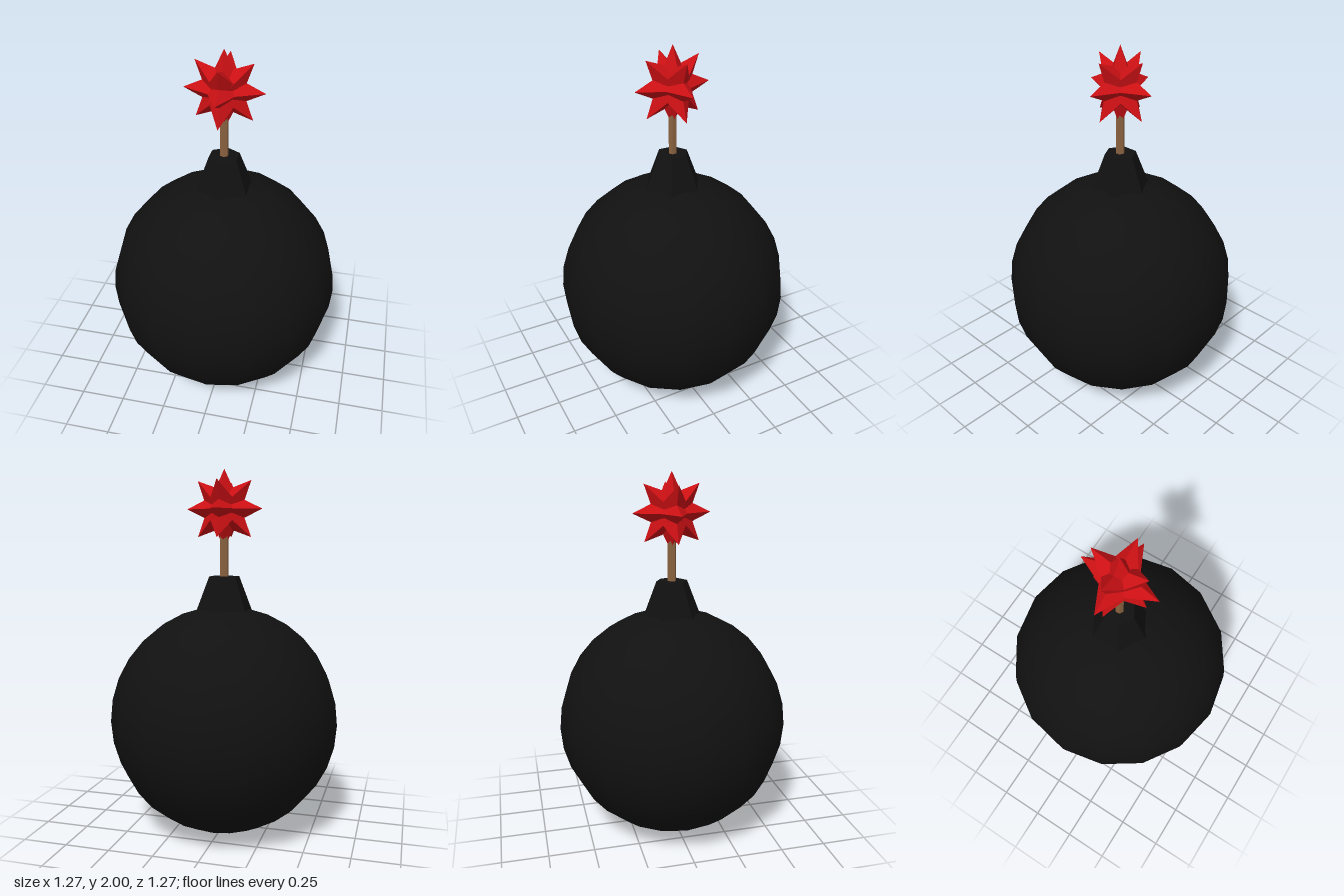
import * as THREE from 'three';

const BODY_R = 0.633;
const STAR_Y = 1.79;
const SPIKE_LENGTH = 0.21;
const SPIKE_BASE = 0.1;

export function createModel() {
  const model = new THREE.Group();
  model.name = 'bomb';

  const black = new THREE.MeshStandardMaterial({ color: 0x111111 });
  const blackFlat = new THREE.MeshStandardMaterial({ color: 0x111111, flatShading: true });
  const brown = new THREE.MeshStandardMaterial({ color: 0x8b6340, flatShading: true });
  const red = new THREE.MeshStandardMaterial({ color: 0xcc1014, flatShading: true });

  const add = (parent, name, geometry, material, y = 0) => {
    const mesh = new THREE.Mesh(geometry, material);
    mesh.name = name;
    mesh.position.y = y;
    parent.add(mesh);
    return mesh;
  };

  // Round body
  add(model, 'body', new THREE.SphereGeometry(BODY_R, 16, 16), black, BODY_R);

  // Tapered hexagonal neck, sunk slightly into the body
  add(model, 'neck', new THREE.CylinderGeometry(0.085, 0.159, 0.19, 6), blackFlat, 1.335);

  // Hexagonal fuse from the neck into the spark
  add(model, 'fuse', new THREE.CylinderGeometry(0.023, 0.023, 0.36, 6), brown, 1.58);

  // Spark: four-sided spikes sharing one centre
  const spark = new THREE.Group();
  spark.name = 'spark';
  spark.position.y = STAR_Y;
  model.add(spark);

  const addSpike = (tilt, yaw) => {
    const geometry = new THREE.ConeGeometry(SPIKE_BASE, SPIKE_LENGTH, 4, 1, true);
    geometry.translate(0, SPIKE_LENGTH / 2, 0);
    geometry.rotateZ(-tilt).rotateY(yaw);
    add(spark, 'spike', geometry, red);
  };

  addSpike(0, 0);
  addSpike(Math.PI, 0);
  for (let i = 0; i < 4; i++) {
    for (let j = 1; j <= 3; j++) addSpike((j * Math.PI) / 4, (i * Math.PI) / 2);
  }

  return model;
}
